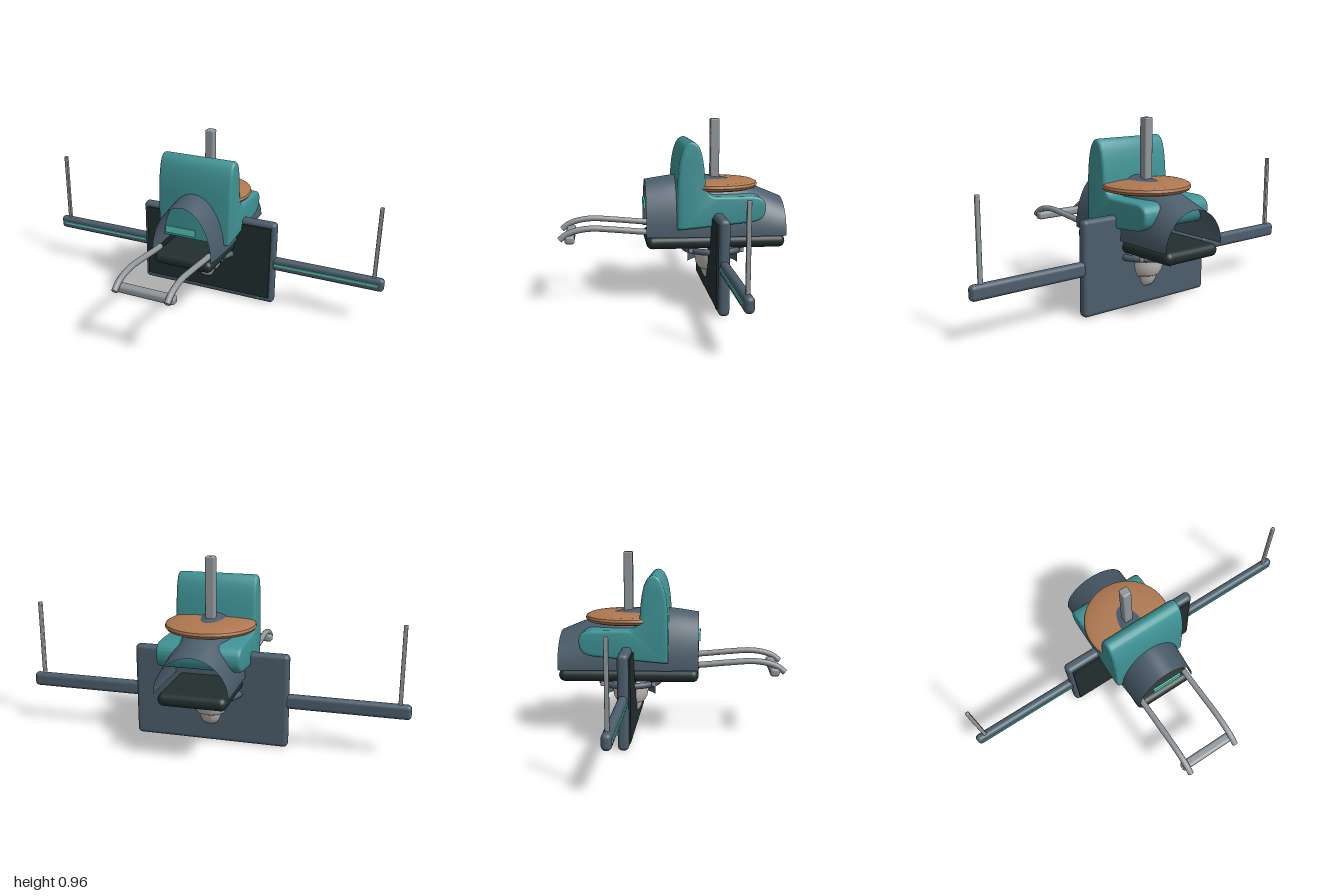
import * as THREE from 'three';
import { toCreasedNormals } from 'three/addons/utils/BufferGeometryUtils.js';
import { RoundedBoxGeometry } from 'three/addons/geometries/RoundedBoxGeometry.js';

const material = (name, color, side = THREE.FrontSide) => {
  const m = new THREE.MeshStandardMaterial({ color, side });
  m.name = name;
  return m;
};

export function createModel() {
  const model = new THREE.Group();
  const slate = material('slate', 0x4b5d6b, THREE.DoubleSide);
  const teal = material('teal', 0x3f9396);
  const glow = material('glowing teal', 0x56cbb8);
  const dark = material('near black', 0x222e2f);
  const metal = material('grey metal', 0x90969a);
  const copper = material('copper', 0xaf7850);
  const pale = material('pale grey', 0xc2beba);
  const slateInner = material('slate lining', 0x4b5d6b);
  const Z = -0.228; // depth of the panel, arms and posts

  const add = (name, geometry, mat, x = 0, y = 0, z = 0) => {
    const mesh = new THREE.Mesh(geometry, mat);
    mesh.name = name;
    mesh.position.set(x, y, z);
    model.add(mesh);
    return mesh;
  };
  const rounded = (name, mat, w, h, d, x, y, z, r) =>
    add(name, new RoundedBoxGeometry(w, h, d, 4, r), mat, x, y, z);
  const lathe = (name, mat, points, y = 0, z = Z) =>
    add(name, toCreasedNormals(new THREE.LatheGeometry(
      points.map(p => new THREE.Vector2(...p)), 48), 0.6), mat, 0, y, z);

  // Wide front panel with its inset screen
  rounded('panel', slate, 0.806, 0.488, 0.056, 0, 0.246, Z, 0.022);
  add('screen', new THREE.BoxGeometry(0.756, 0.426, 0.009), dark, 0, 0.25, -0.196);
  add('panelLight', new THREE.BoxGeometry(0.014, 0.008, 0.006), glow, 0.32, 0.025, -0.198);

  // Side arms with light strips and upright posts
  for (const s of [-1, 1]) {
    rounded('arm', slate, 0.62, 0.075, 0.046, s * 0.69, 0.247, Z, 0.021);
    add('armStrip', new THREE.BoxGeometry(0.57, 0.013, 0.008), glow, s * 0.687, 0.248, -0.204);
    rounded('armPost', metal, 0.02, 0.41, 0.02, s * 0.945, 0.473, Z, 0.005);
  }

  // Base slab
  rounded('baseSlab', dark, 0.34, 0.066, 0.73, 0, 0.327, -0.225, 0.032);

  // Arched hood: cross-sections of half ellipses, open at both ends
  const crest = new THREE.CatmullRomCurve3([
    [0.14, 0.645], [-0.02, 0.667], [-0.16, 0.665], [-0.3, 0.648], [-0.45, 0.603], [-0.59, 0.546],
  ].map(([z, y]) => new THREE.Vector3(0, y, z)));
  const hood = new THREE.PlaneGeometry(1, 1, 40, 24);
  const pos = hood.attributes.position, uv = hood.attributes.uv, p = new THREE.Vector3();
  for (let i = 0; i < pos.count; i++) {
    crest.getPoint(1 - uv.getY(i), p);
    const a = Math.PI * (1 - uv.getX(i));
    const half = 0.182 - 0.012 * Math.max(0, (p.z + 0.05) / 0.19);
    pos.setXYZ(i, Math.cos(a) * half, 0.36 + Math.sin(a) * (p.y - 0.36), p.z);
  }
  // the plane runs front to back, so its faces are turned to point outward
  const idx = hood.index.array;
  for (let i = 0; i < idx.length; i += 3) [idx[i], idx[i + 1]] = [idx[i + 1], idx[i]];
  hood.computeVertexNormals();
  const n = hood.attributes.normal;
  if (n.getY(20 + 41 * 12) < 0) {
    for (let i = 0; i < idx.length; i += 3) [idx[i], idx[i + 1]] = [idx[i + 1], idx[i]];
    hood.computeVertexNormals();
  }
  add('hood', hood, slate);
  add('frontLight', new THREE.BoxGeometry(0.168, 0.038, 0.01), glow, 0, 0.52, 0.144);

  // Seat: side profile swept across the width
  const seat = new THREE.Shape();
  seat.moveTo(0.016, 0.405);
  seat.lineTo(0.016, 0.64);
  seat.bezierCurveTo(0.02, 0.76, 0.04, 0.855, 0.088, 0.855);
  seat.bezierCurveTo(0.135, 0.855, 0.15, 0.77, 0.158, 0.66);
  seat.quadraticCurveTo(0.162, 0.575, 0.22, 0.574);
  seat.lineTo(0.4, 0.575);
  seat.bezierCurveTo(0.45, 0.575, 0.475, 0.55, 0.475, 0.515);
  seat.bezierCurveTo(0.475, 0.47, 0.455, 0.445, 0.4, 0.438);
  seat.lineTo(0.05, 0.405);
  const seatGeometry = new THREE.ExtrudeGeometry(seat, {
    depth: 0.39, bevelEnabled: true, bevelThickness: 0.015, bevelSize: 0.014,
    bevelOffset: -0.014, bevelSegments: 3, curveSegments: 14,
  });
  seatGeometry.translate(0, 0, -0.195).rotateY(Math.PI / 2);
  add('seat', toCreasedNormals(seatGeometry, 0.7), teal);

  // Round copper table and the central mast
  lathe('table', copper, [[0, 0.59], [0.12, 0.591], [0.2, 0.597], [0.22, 0.603], [0.23, 0.617],
    [0.226, 0.63], [0.21, 0.639], [0.12, 0.645], [0, 0.646]], 0, -0.232);
  rounded('mast', metal, 0.048, 0.4, 0.048, 0, 0.763, -0.234, 0.008);

  // Front handle: two bent tubes and a crossbar
  for (const s of [-1, 1]) {
    const path = new THREE.CatmullRomCurve3([[0.385, 0.1], [0.388, 0.15], [0.402, 0.3], [0.41, 0.42],
      [0.402, 0.49], [0.384, 0.545], [0.354, 0.585]].map(([y, z]) => new THREE.Vector3(s * 0.143, y, z)));
    add('handleTube', new THREE.TubeGeometry(path, 32, 0.016, 12), metal);
    const cap = add('handleEnd', new THREE.CircleGeometry(0.016, 12), metal, s * 0.143, 0.354, 0.585);
    cap.rotation.x = 0.64;
  }
  rounded('handleBar', metal, 0.33, 0.044, 0.05, 0, 0.353, 0.534, 0.016);

  // Underside: mounting ring, lugs, lining and stepped bulb
  add('mountRing', new THREE.TorusGeometry(0.155, 0.017, 12, 48).rotateX(Math.PI / 2), slate, 0, 0.271, Z);
  for (let i = 0; i < 4; i++) {
    const a = Math.PI * (0.25 + i / 2);
    add('lug', new THREE.CylinderGeometry(0.012, 0.012, 0.035, 12), metal,
      Math.cos(a) * 0.19, 0.287, Z + Math.sin(a) * 0.19);
  }
  lathe('bulbLining', slateInner, [[0.135, 0.26], [0.135, 0.182]]);
  lathe('bulb', pale, [[0, 0.1], [0.036, 0.1], [0.047, 0.108], [0.057, 0.13], [0.065, 0.155],
    [0.076, 0.16], [0.09, 0.185], [0.095, 0.215], [0.098, 0.245], [0.113, 0.25], [0.118, 0.275], [0, 0.285]]);

  return model;
}
